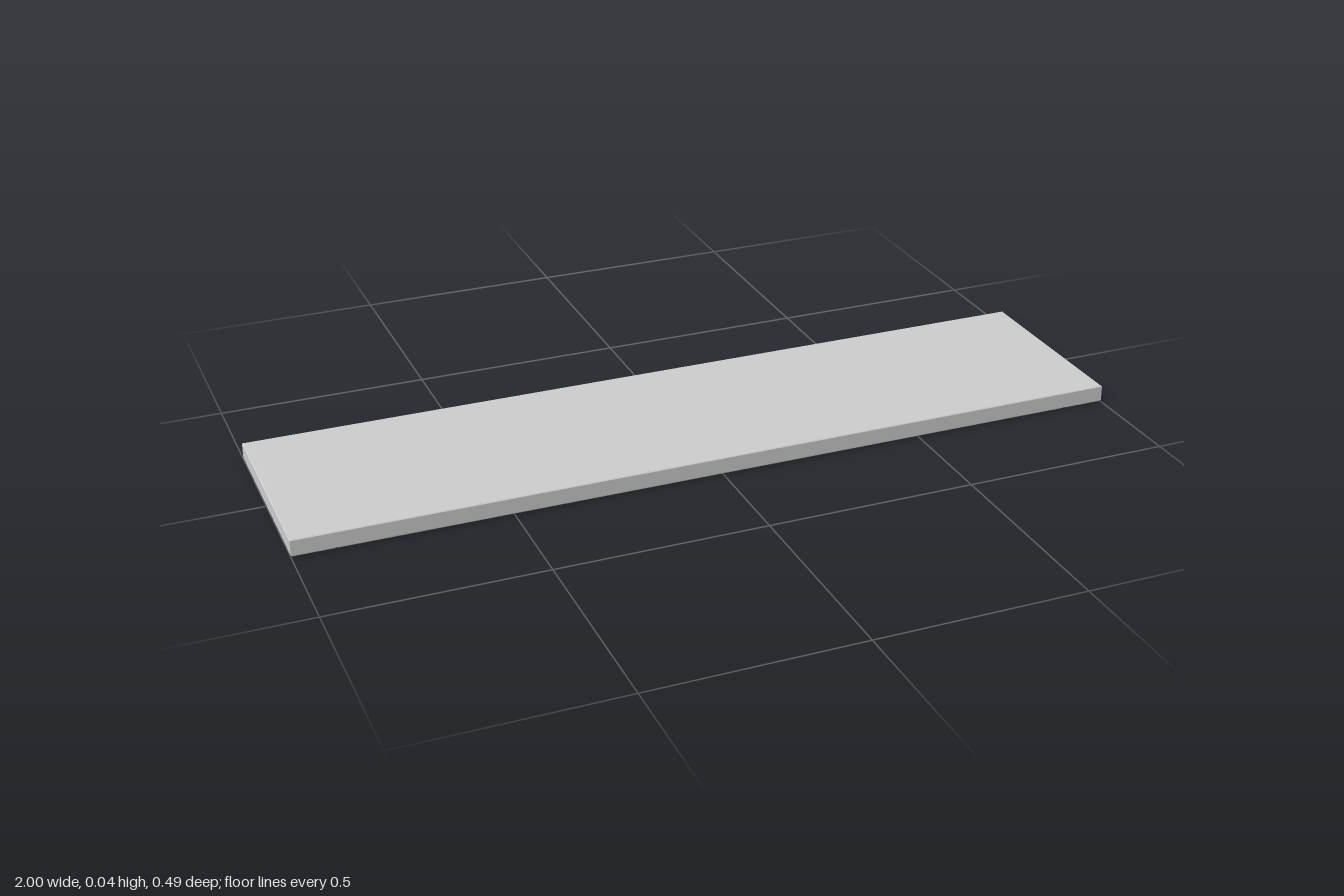
import * as THREE from 'three';

const W = 1, D = 0.243, H = 0.042; // half width, half depth, height
const GX = 0.9, GZ = 0.19; // groove positions on the underside
const V = 0.004, TOP = 0.002; // groove depth and top edge bevel

export function createModel() {
  const group = new THREE.Group();
  const material = new THREE.MeshStandardMaterial({ color: 0xcccccc, flatShading: true });

  // Box between two heights, with its top or bottom face drawn in to bevel the edges
  function bevelled(name, [x0, x1], [z0, z1], [y0, y1], insetBottom, insetTop) {
    const geo = new THREE.BoxGeometry(x1 - x0, y1 - y0, z1 - z0);
    const p = geo.attributes.position;
    for (let i = 0; i < p.count; i++) {
      const inset = p.getY(i) > 0 ? insetTop : insetBottom;
      p.setX(i, p.getX(i) - Math.sign(p.getX(i)) * inset);
      p.setZ(i, p.getZ(i) - Math.sign(p.getZ(i)) * inset);
    }
    geo.computeVertexNormals();
    const mesh = new THREE.Mesh(geo, material);
    mesh.name = name;
    mesh.position.set((x0 + x1) / 2, (y0 + y1) / 2, (z0 + z1) / 2);
    group.add(mesh);
  }

  // Main board and its softened top edge
  bevelled('board', [-W, W], [-D, D], [V, H - TOP], 0, 0);
  bevelled('topEdge', [-W, W], [-D, D], [H - TOP, H], 0, TOP);

  // Underside panels; their bevels meet in V grooves
  const under = (name, xs, zs) => bevelled(name, xs, zs, [0, V], V, 0);
  under('centrePanel', [-GX, GX], [-GZ, GZ]);
  under('leftEndPanel', [GX, W], [-D, D]);
  under('rightEndPanel', [-W, -GX], [-D, D]);
  under('frontRail', [-GX, GX], [GZ, D]);
  under('backRail', [-GX, GX], [-D, -GZ]);

  return group;
}
